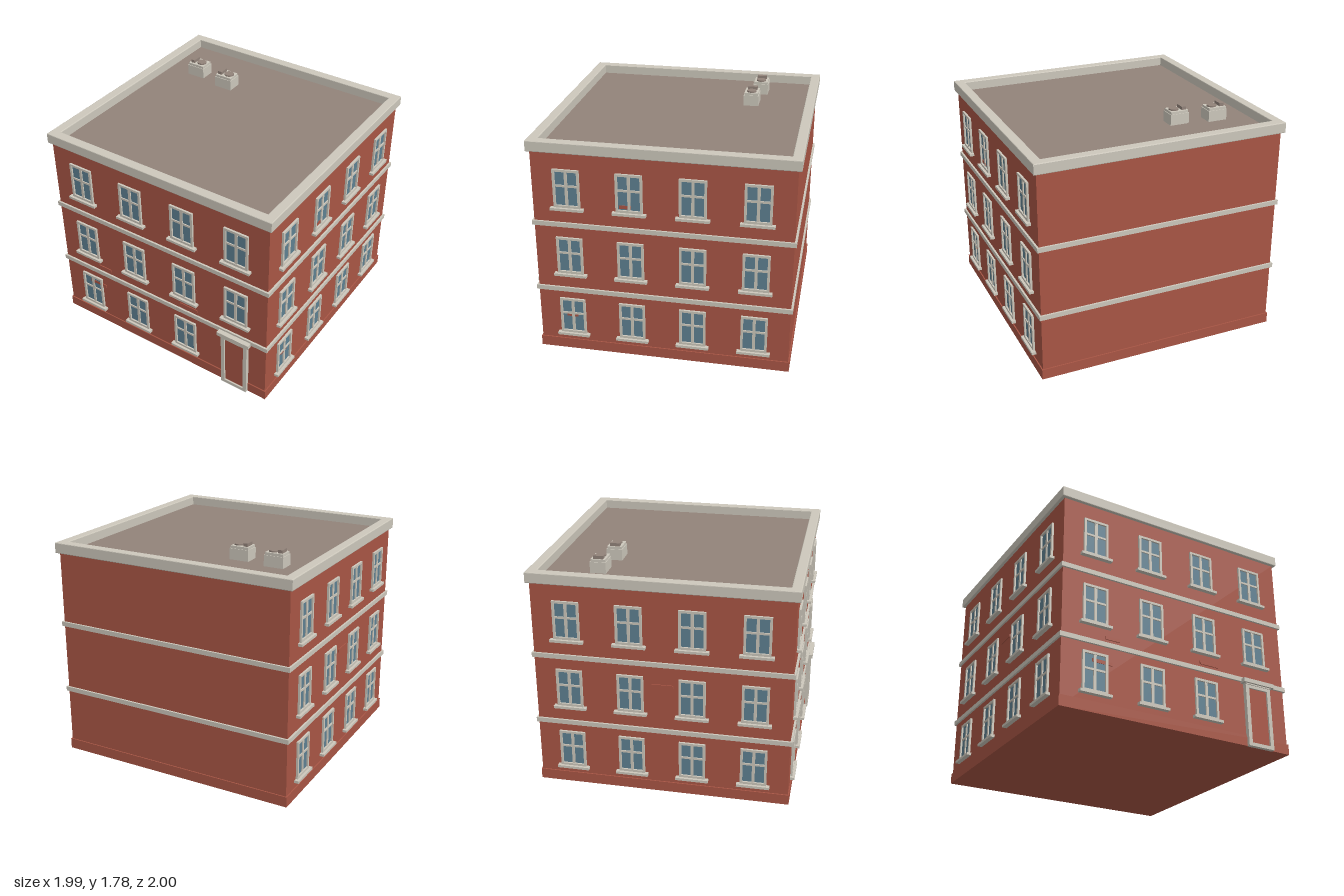
import * as THREE from 'three';

const mat = (name, color) => {
  const m = new THREE.MeshStandardMaterial({ color });
  m.name = name;
  return m;
};
const brick = mat('brick red', 0xa95645);
const trim = mat('pale stone', 0xcdc8bc);
const glass = mat('window blue', 0x5f8192);
const roofing = mat('roof grey brown', 0x92837a);

const CZ = -0.013; // centre of the building block in z
const WALL = 0.96; // half width of the walls

function box(parent, name, material, w, h, d, x, y, z) {
  const m = new THREE.Mesh(new THREE.BoxGeometry(w, h, d), material);
  m.name = name;
  m.position.set(x, y, z);
  parent.add(m);
  return m;
}

// Rectangular ring, extruded along +z
function ring(w, h, iw, ih, depth, bevel = 0) {
  const rect = (C, a, b) => new C().moveTo(-a, -b).lineTo(a, -b).lineTo(a, b).lineTo(-a, b).closePath();
  const s = rect(THREE.Shape, w / 2 - bevel, h / 2 - bevel);
  s.holes.push(rect(THREE.Path, iw / 2 + bevel, ih / 2 + bevel));
  return new THREE.ExtrudeGeometry(s, {
    depth: depth - 2 * bevel, bevelEnabled: bevel > 0, bevelSize: bevel, bevelThickness: bevel, bevelSegments: 2,
  }).translate(0, 0, bevel);
}

const frameGeo = ring(0.2, 0.3, 0.164, 0.264, 0.016);

// Window with its bottom at y = 0 and the wall plane at z = 0
function makeWindow() {
  const g = new THREE.Group();
  g.name = 'window';
  const frame = new THREE.Mesh(frameGeo, trim);
  frame.name = 'windowFrame';
  frame.position.y = 0.15;
  g.add(frame);
  box(g, 'windowGlass', glass, 0.17, 0.27, 0.004, 0, 0.15, 0.001);
  box(g, 'verticalBar', trim, 0.022, 0.27, 0.01, 0, 0.15, 0.006);
  box(g, 'crossBar', trim, 0.17, 0.016, 0.009, 0, 0.17, 0.006);
  box(g, 'windowSill', trim, 0.25, 0.02, 0.035, 0, -0.01, 0.0175);
  return g;
}

// Entrance with stone frame and canopy
function makeDoor() {
  const g = new THREE.Group();
  g.name = 'entrance';
  const frame = new THREE.Mesh(ring(0.23, 0.49, 0.168, 0.436, 0.032), trim);
  frame.name = 'doorFrame';
  frame.position.y = 0.245;
  g.add(frame);
  box(g, 'doorPanel', brick, 0.18, 0.45, 0.018, 0, 0.247, 0.009);
  box(g, 'doorLintel', trim, 0.235, 0.012, 0.038, 0, 0.493, 0.019);
  box(g, 'doorCanopy', trim, 0.28, 0.033, 0.053, 0, 0.513, 0.0265);
  return g;
}

// Roof unit with a vent slot and a round fan
function makeRoofUnit(x, z) {
  const g = new THREE.Group();
  g.name = 'roofUnit';
  box(g, 'unitBase', trim, 0.153, 0.085, 0.12, 0, 0.0425, 0);
  box(g, 'unitLid', trim, 0.142, 0.02, 0.11, 0, 0.095, 0);
  box(g, 'unitVent', roofing, 0.034, 0.025, 0.076, -0.042, 0.117, 0);
  const fan = new THREE.Mesh(new THREE.CylinderGeometry(0.038, 0.038, 0.012, 24), roofing);
  fan.name = 'unitFan';
  fan.position.set(0.025, 0.11, 0);
  g.add(fan);
  g.position.set(x, 1.652, z);
  return g;
}

export function createModel() {
  const model = new THREE.Group();
  model.name = 'apartmentBuilding';

  // Main block, plinth and string courses
  box(model, 'walls', brick, WALL * 2, 1.645, WALL * 2, 0, 0.8235, CZ);
  box(model, 'plinth', brick, 1.938, 0.082, 1.938, 0, 0.041, CZ);
  for (const y of [0.527, 1.075]) box(model, 'stringCourse', trim, 1.95, 0.036, 1.95, 0, y, CZ);

  // Parapet and sunken roof
  const parapet = new THREE.Mesh(ring(1.968, 1.968, 1.818, 1.818, 0.083, 0.006), trim);
  parapet.name = 'parapet';
  parapet.rotation.x = -Math.PI / 2;
  parapet.position.set(0, 1.642, CZ);
  model.add(parapet);
  box(model, 'roofDeck', roofing, 1.83, 0.012, 1.83, 0, 1.647, CZ);
  model.add(makeRoofUnit(-0.643, -0.53), makeRoofUnit(-0.342, -0.487));

  // Facades, with loose bricks as [along, y, width]; the back stays blank
  const facades = [
    { name: 'front', turn: 0, door: true,
      bricks: [[-0.64, 0.388, 0.16], [-0.553, 0.585, 0.117], [0.267, 0.585, 0.16]] },
    { name: 'left', turn: Math.PI / 2, bricks: [[-0.265, 1.257, 0.09], [-0.705, 0.302, 0.085]] },
    { name: 'right', turn: -Math.PI / 2, bricks: [[0.01, 0.9, 0.16]] },
  ];
  for (const f of facades) {
    const side = new THREE.Group();
    side.name = f.name + 'Facade';
    side.position.z = CZ;
    side.rotation.y = f.turn;
    [0.147, 0.67, 1.217].forEach((y, row) => {
      for (let i = 0; i < 4; i++) {
        if (f.door && row === 0 && i === 3) continue;
        const w = makeWindow();
        w.position.set(-0.699 + i * 0.465, y, WALL);
        side.add(w);
      }
    });
    if (f.door) {
      const d = makeDoor();
      d.position.set(0.695, 0, WALL);
      side.add(d);
    }
    for (const [x, y, w] of f.bricks) box(side, 'looseBrick', brick, w, 0.026, 0.012, x, y, WALL + 0.001);
    model.add(side);
  }
  return model;
}
